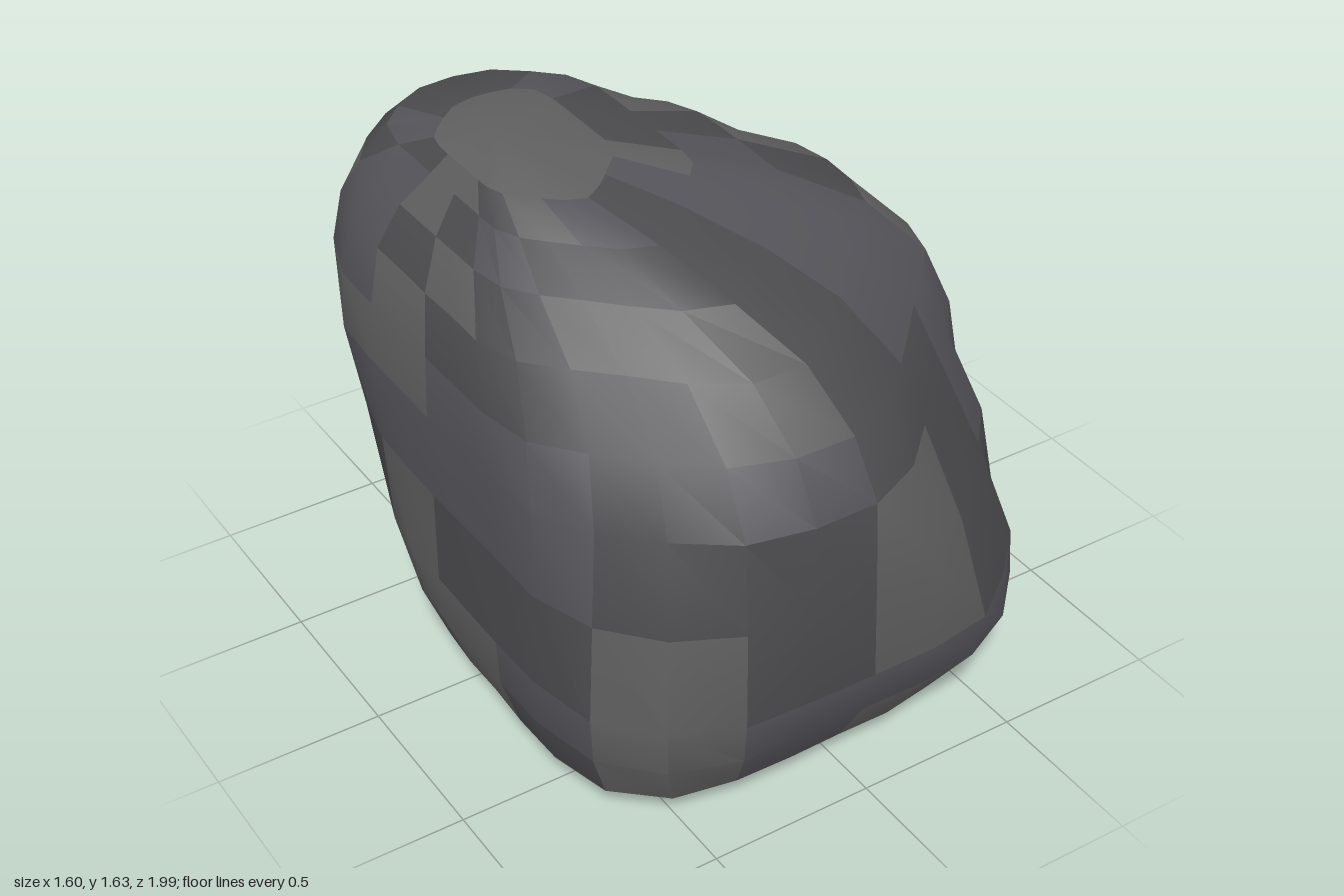
import * as THREE from 'three';
import { toCreasedNormals } from 'three/addons/utils/BufferGeometryUtils.js';

// Each level: height, then how far the stone reaches towards
// +x, +x+z, +z, -x+z, -x, -x-z, -z, +x-z
const LEVELS = [
  [0.005, 0.36, 0.30, 0.28, 0.42, 0.36, 0.40, 0.58, 0.52],
  [0.03, 0.57, 0.64, 0.66, 0.80, 0.58, 0.55, 0.70, 0.69],
  [0.09, 0.72, 0.86, 0.86, 0.98, 0.71, 0.61, 0.80, 0.76],
  [0.26, 0.79, 1.02, 0.96, 1.05, 0.77, 0.71, 0.95, 0.81],
  [0.41, 0.80, 1.01, 1.00, 1.06, 0.78, 0.78, 1.00, 0.83],
  [0.72, 0.785, 0.89, 1.00, 1.04, 0.785, 0.87, 0.96, 0.75],
  [1.00, 0.77, 0.77, 1.00, 0.99, 0.80, 0.95, 0.925, 0.64],
  [1.17, 0.71, 0.69, 0.92, 0.89, 0.78, 0.98, 0.905, 0.58],
  [1.33, 0.56, 0.52, 0.79, 0.76, 0.74, 0.95, 0.88, 0.52],
  [1.45, 0.29, 0.32, 0.61, 0.62, 0.67, 0.89, 0.82, 0.46],
  [1.55, 0.03, 0.08, 0.46, 0.52, 0.60, 0.80, 0.70, 0.37],
  [1.61, -0.17, -0.12, 0.18, 0.41, 0.56, 0.62, 0.46, 0.16],
];
const SIDES = 32;
const TONES = [0x606061, 0x55555b, 0x4d4d50];

// Small seeded generator for the facet tones and slight unevenness
function seeded(seed) {
  return () => {
    seed = (seed * 1664525 + 1013904223) % 4294967296;
    return seed / 4294967296;
  };
}

// Rounded eight-sided outline touching the reaches of one level
function ringPoints([y, ...reach], random) {
  const cx = (reach[0] - reach[4]) / 2, cz = (reach[2] - reach[6]) / 2;
  const points = [];
  for (let i = 0; i < SIDES; i++) {
    const angle = (i / SIDES) * Math.PI * 2;
    let sum = 0;
    reach.forEach((r, k) => {
      const dir = (k * Math.PI) / 4;
      const h = Math.max(0.05, r - cx * Math.cos(dir) - cz * Math.sin(dir));
      sum += Math.pow(Math.max(0, Math.cos(angle - dir)) / h, 20);
    });
    const radius = Math.pow(sum, -1 / 20) * (1 + (random() - 0.5) * 0.01);
    points.push([cx + radius * Math.cos(angle), y, cz + radius * Math.sin(angle)]);
  }
  return points;
}

function stoneGeometry() {
  const random = seeded(11);
  const rings = LEVELS.map((level) => ringPoints(level, random));
  const positions = [...rings.flat(2), 0, 0, -0.1, -0.42, 1.635, -0.22];
  const bottom = rings.length * SIDES, top = bottom + 1;
  const faces = TONES.map(() => []);
  const at = (j, i) => j * SIDES + (i % SIDES);

  // Side skin: patches two sides wide share one tone
  for (let j = 0; j < rings.length - 1; j++) {
    let tone = 0;
    for (let i = 0; i < SIDES; i++) {
      if (i % 2 === 0) tone = Math.floor(random() * TONES.length);
      const a = at(j, i), b = at(j, i + 1), c = at(j + 1, i + 1), d = at(j + 1, i);
      faces[tone].push(a, d, c, a, c, b);
    }
  }
  // Crown and underside
  for (let i = 0; i < SIDES; i++) {
    faces[0].push(at(rings.length - 1, i), top, at(rings.length - 1, i + 1));
    faces[2].push(at(0, i), at(0, i + 1), bottom);
  }

  const geometry = new THREE.BufferGeometry();
  geometry.setAttribute('position', new THREE.Float32BufferAttribute(positions, 3));
  geometry.setIndex(faces.flat());
  let start = 0;
  faces.forEach((list, k) => {
    geometry.addGroup(start, list.length, k);
    start += list.length;
  });
  return toCreasedNormals(geometry, 0.5);
}

export function createModel() {
  const model = new THREE.Group();
  model.name = 'rock';
  const materials = TONES.map((color) => new THREE.MeshStandardMaterial({ color }));
  const boulder = new THREE.Mesh(stoneGeometry(), materials);
  boulder.name = 'boulder';
  model.add(boulder);
  return model;
}
